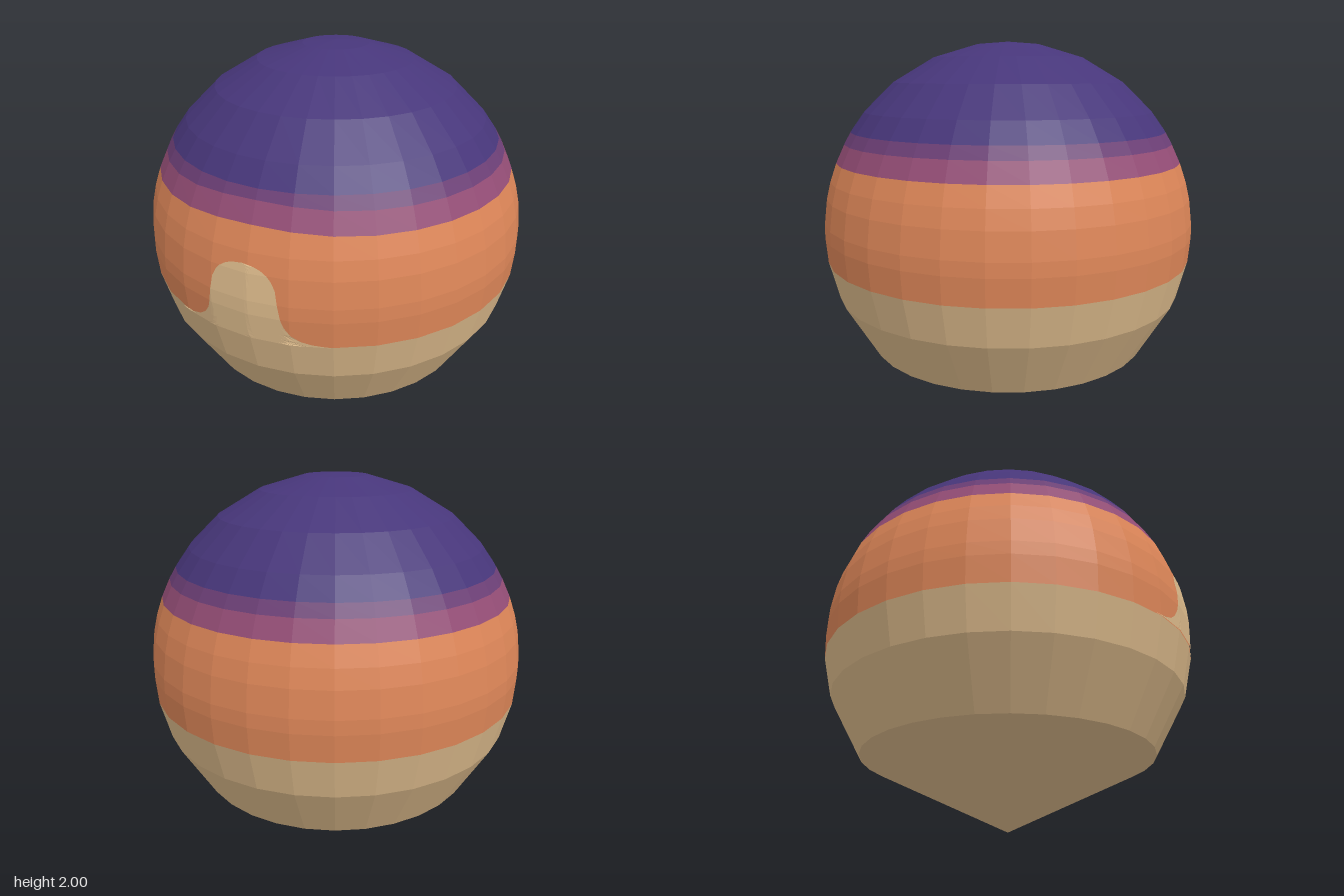
import * as THREE from 'three';

const SEGMENTS = 32;
const STEP = (Math.PI * 2) / SEGMENTS;
const PATCH_ANGLE = THREE.MathUtils.degToRad(-90 + 21);

// Ring heights of the faceted globe; radii follow a unit sphere centred on y = 1
const HEIGHTS = [0.36, 0.66, 0.865, 1.0, 1.07, 1.2, 1.29, 1.385, 1.48, 1.54, 1.64, 1.79, 1.918, 1.986, 2];
const sphereRadius = (y) => Math.sqrt(Math.max(0, 1 - (y - 1) ** 2));

const material = (name, color) => new THREE.MeshStandardMaterial({ name, color });

// Radius of the straight-sided profile at any height
function profileRadius(y) {
  const i = Math.max(1, HEIGHTS.findIndex((h) => h >= y));
  const t = (y - HEIGHTS[i - 1]) / (HEIGHTS[i] - HEIGHTS[i - 1]);
  return THREE.MathUtils.lerp(sphereRadius(HEIGHTS[i - 1]), sphereRadius(HEIGHTS[i]), t);
}

function faceted(geometry) {
  const flat = geometry.toNonIndexed();
  flat.computeVertexNormals();
  return flat;
}

// One coloured belt of the globe, from one ring height to another
function band(name, from, to, mat) {
  const points = HEIGHTS.filter((y) => y >= from && y <= to).map((y) => new THREE.Vector2(sphereRadius(y), y));
  const geometry = new THREE.LatheGeometry(points, SEGMENTS);
  const pos = geometry.attributes.position;
  // The two upper colour borders rise slightly above the spire
  for (let i = 0; i < pos.count; i++) {
    const y = pos.getY(i);
    if (y < 1.35 || y > 1.5) continue;
    const x = pos.getX(i), z = pos.getZ(i);
    const offset = (Math.atan2(x, z) - PATCH_ANGLE) / 0.33;
    const raised = y + 0.018 * Math.exp(-offset * offset);
    const scale = sphereRadius(raised) / sphereRadius(y);
    pos.setXYZ(i, x * scale, raised, z * scale);
  }
  const mesh = new THREE.Mesh(faceted(geometry), mat);
  mesh.name = name;
  return mesh;
}

// Sand-coloured spire with a rounded top and flared foot, laid on the facets
function spire(mat) {
  // height, half width in degrees
  const outline = [
    [0.865, 24], [0.875, 18.5], [0.89, 15.5], [0.92, 13], [0.96, 11.3], [1.0, 10.5], [1.07, 9.8],
    [1.14, 9.2], [1.18, 8], [1.2, 7], [1.22, 5.2], [1.232, 3.3], [1.24, 0],
  ];
  const points = outline.map(([w, h]) => new THREE.Vector2(h, w));
  const geometry = new THREE.LatheGeometry(points, 24, 0, 1);
  const pos = geometry.attributes.position;
  const uv = geometry.attributes.uv;
  for (let i = 0; i < pos.count; i++) {
    const [y, halfWidth] = outline[i % outline.length];
    const phi = PATCH_ANGLE + (uv.getX(i) * 2 - 1) * THREE.MathUtils.degToRad(halfWidth);
    const facetCentre = (Math.floor(phi / STEP) + 0.5) * STEP;
    const r = (profileRadius(y) * Math.cos(STEP / 2)) / Math.cos(phi - facetCentre) + 0.004;
    pos.setXYZ(i, r * Math.sin(phi), y, r * Math.cos(phi));
  }
  const mesh = new THREE.Mesh(faceted(geometry), mat);
  mesh.name = 'sandSpire';
  return mesh;
}

export function createModel() {
  const sand = material('sand', 0xdcba8b);
  const orange = material('sunset orange', 0xdd8658);
  const magenta = material('dusk magenta', 0x944d76);
  const violet = material('dusk violet', 0x6c3f76);
  const indigo = material('night indigo', 0x47367a);

  const group = new THREE.Group();
  group.name = 'globe';
  group.add(
    band('sandBand', 0.36, 0.865, sand),
    band('orangeBand', 0.865, 1.385, orange),
    band('magentaBand', 1.385, 1.48, magenta),
    band('violetBand', 1.48, 1.54, violet),
    band('nightCap', 1.54, 2, indigo),
    spire(sand),
  );

  // Pointed underside
  const cone = new THREE.LatheGeometry(
    [new THREE.Vector2(0, 0), new THREE.Vector2(sphereRadius(0.36), 0.36)], SEGMENTS);
  const base = new THREE.Mesh(faceted(cone), sand);
  base.name = 'pointedBase';
  group.add(base);
  return group;
}
